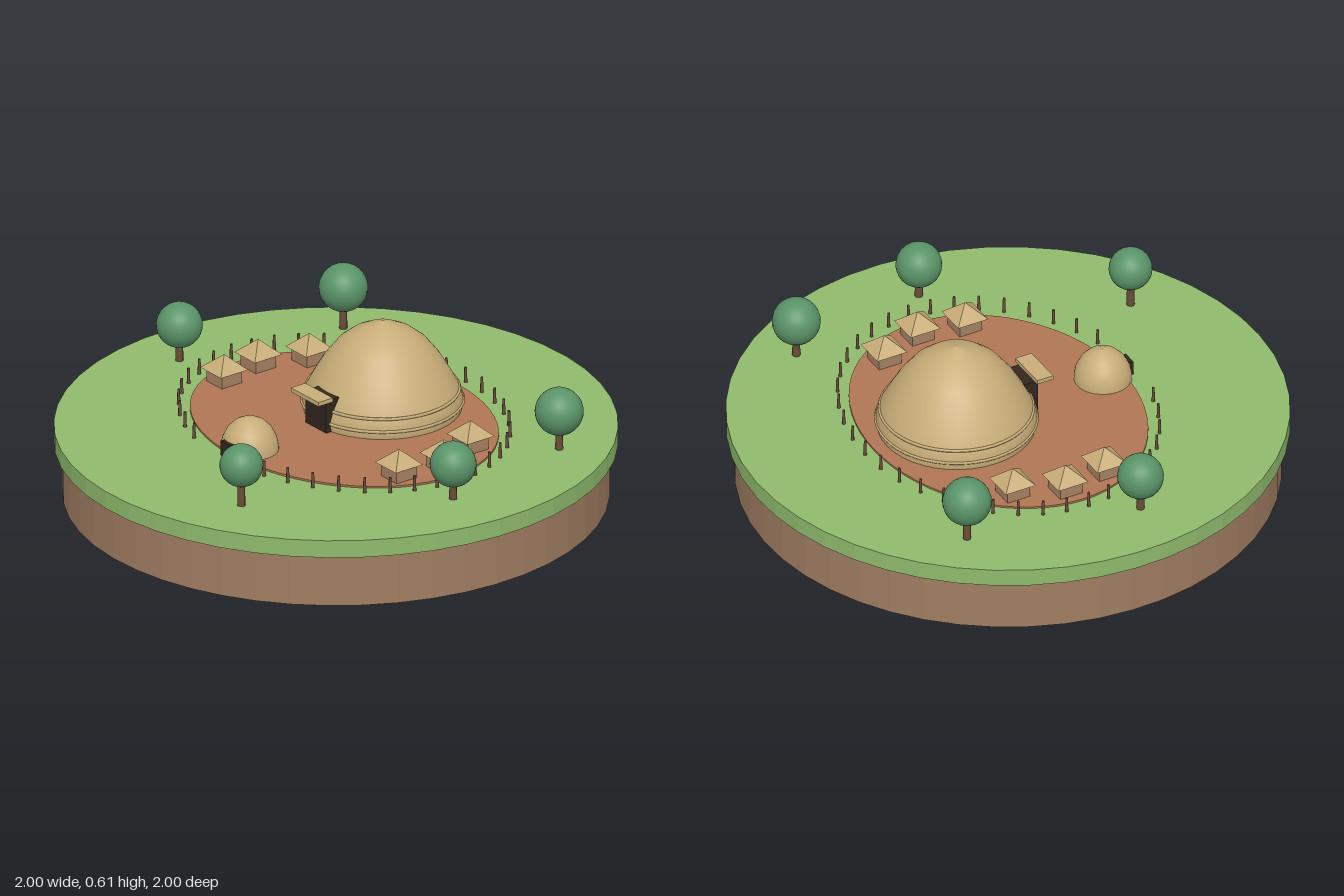
import * as THREE from 'three';

const mat = (name, color) => Object.assign(new THREE.MeshStandardMaterial({ color }), { name });
const M = {
  grass: mat('grass', 0x8fba6c),
  earth: mat('earth', 0xa07d62),
  dirt: mat('red dirt', 0xb07654),
  thatch: mat('thatch', 0xc8ad78),
  wall: mat('mud wall', 0xa58262),
  wood: mat('wood', 0x6b4c38),
  dark: mat('dark doorway', 0x33261f),
  leaf: mat('foliage', 0x5a9468),
};
const GROUND = 0.268;

function add(parent, name, geometry, material, x = 0, y = 0, z = 0) {
  const mesh = new THREE.Mesh(geometry, material);
  mesh.name = name;
  mesh.position.set(x, y, z);
  parent.add(mesh);
  return mesh;
}

// Faceted copy of a geometry
function faceted(geometry) {
  const g = geometry.toNonIndexed();
  g.computeVertexNormals();
  return g;
}

// Pointed thatched dome from a profile of [radius, height] pairs
function dome(parent, name, profile, z) {
  const points = profile.map(([r, y]) => new THREE.Vector2(r, y));
  return add(parent, name, new THREE.LatheGeometry(points, 40), M.thatch, 0, GROUND, z);
}

function tree(parent, x, z, y, r) {
  const g = new THREE.Group();
  g.name = 'tree';
  g.position.set(x, 0, z);
  const h = y - GROUND;
  add(g, 'trunk', new THREE.CylinderGeometry(0.011, 0.015, h, 8), M.wood, 0, GROUND + h / 2, 0);
  add(g, 'crown', new THREE.SphereGeometry(r, 24, 16), M.leaf, 0, y, 0);
  parent.add(g);
}

function hut(parent, x, z) {
  const g = new THREE.Group();
  g.name = 'hut';
  g.position.set(x, GROUND, z);
  add(g, 'hutWalls', new THREE.BoxGeometry(0.09, 0.058, 0.09), M.wall, 0, 0.029, 0);
  const roof = faceted(new THREE.ConeGeometry(0.086, 0.056, 4).rotateY(Math.PI / 4));
  add(g, 'hutRoof', roof, M.thatch, 0, 0.084, 0);
  parent.add(g);
}

export function createModel() {
  const model = new THREE.Group();
  model.name = 'domeVillage';

  // Round island: earth below, grass slab on top
  add(model, 'earthBase', faceted(new THREE.CylinderGeometry(0.97, 0.97, 0.2, 48)), M.earth, 0, 0.1, 0);
  add(model, 'grassSlab', faceted(new THREE.CylinderGeometry(1, 1, 0.066, 48)), M.grass, 0, 0.233, 0);

  // The compound is turned as a whole
  const village = new THREE.Group();
  village.name = 'village';
  village.position.set(0.01, 0, -0.04);
  village.rotation.y = -0.36;
  model.add(village);

  // Oval dirt yard
  const yard = new THREE.CylinderGeometry(1, 1, 0.01, 64).scale(0.62, 1, 0.5);
  add(village, 'dirtYard', yard, M.dirt, 0, GROUND, 0);

  // Great dome with binding rings, doorway and canopy
  const bigZ = -0.17;
  dome(village, 'greatDome', [
    [0.28, 0], [0.288, 0.035], [0.274, 0.08], [0.247, 0.13], [0.212, 0.19],
    [0.163, 0.253], [0.115, 0.292], [0.06, 0.32], [0, 0.342],
  ], bigZ);
  for (const [r, y] of [[0.286, 0.036], [0.273, 0.08]]) {
    const ring = new THREE.TorusGeometry(r, 0.006, 6, 48).rotateX(Math.PI / 2);
    add(village, 'bindingRing', ring, M.thatch, 0, GROUND + y, bigZ);
  }
  add(village, 'greatDoorway', new THREE.BoxGeometry(0.12, 0.13, 0.07), M.dark, 0, GROUND + 0.065, bigZ + 0.262);
  add(village, 'doorCanopy', new THREE.BoxGeometry(0.16, 0.016, 0.065), M.thatch, 0, 0.406, bigZ + 0.315);

  // Gatehouse dome
  const gateZ = 0.422;
  dome(village, 'gateDome', [
    [0.103, 0], [0.103, 0.02], [0.097, 0.05], [0.08, 0.084], [0.055, 0.109], [0.028, 0.123], [0, 0.13],
  ], gateZ);
  add(village, 'gateDoorway', new THREE.BoxGeometry(0.055, 0.056, 0.04), M.dark, 0, GROUND + 0.028, gateZ + 0.088);

  // Three huts along each side
  for (const side of [-1, 1]) {
    for (const [x, z] of [[0.47, -0.203], [0.541, -0.029], [0.51, 0.146]]) hut(village, side * x, z);
  }

  // Fence posts around the yard, open at the gate
  const post = new THREE.CylinderGeometry(0.005, 0.007, 0.058, 6);
  const count = 40;
  for (let i = 0; i < count; i++) {
    const a = (i / count) * Math.PI * 2;
    if (Math.sin(a) > 0.97) continue;
    add(village, 'fencePost', post, M.wood, 0.66 * Math.cos(a), GROUND + 0.028, 0.54 * Math.sin(a));
  }

  // Trees: x, z, crown height, crown radius
  [
    [-0.757, -0.165, 0.406, 0.083],
    [-0.41, -0.705, 0.427, 0.088],
    [0.785, -0.235, 0.414, 0.087],
    [0.692, 0.325, 0.402, 0.083],
    [0.086, 0.77, 0.423, 0.078],
  ].forEach((t) => tree(model, ...t));

  return model;
}
